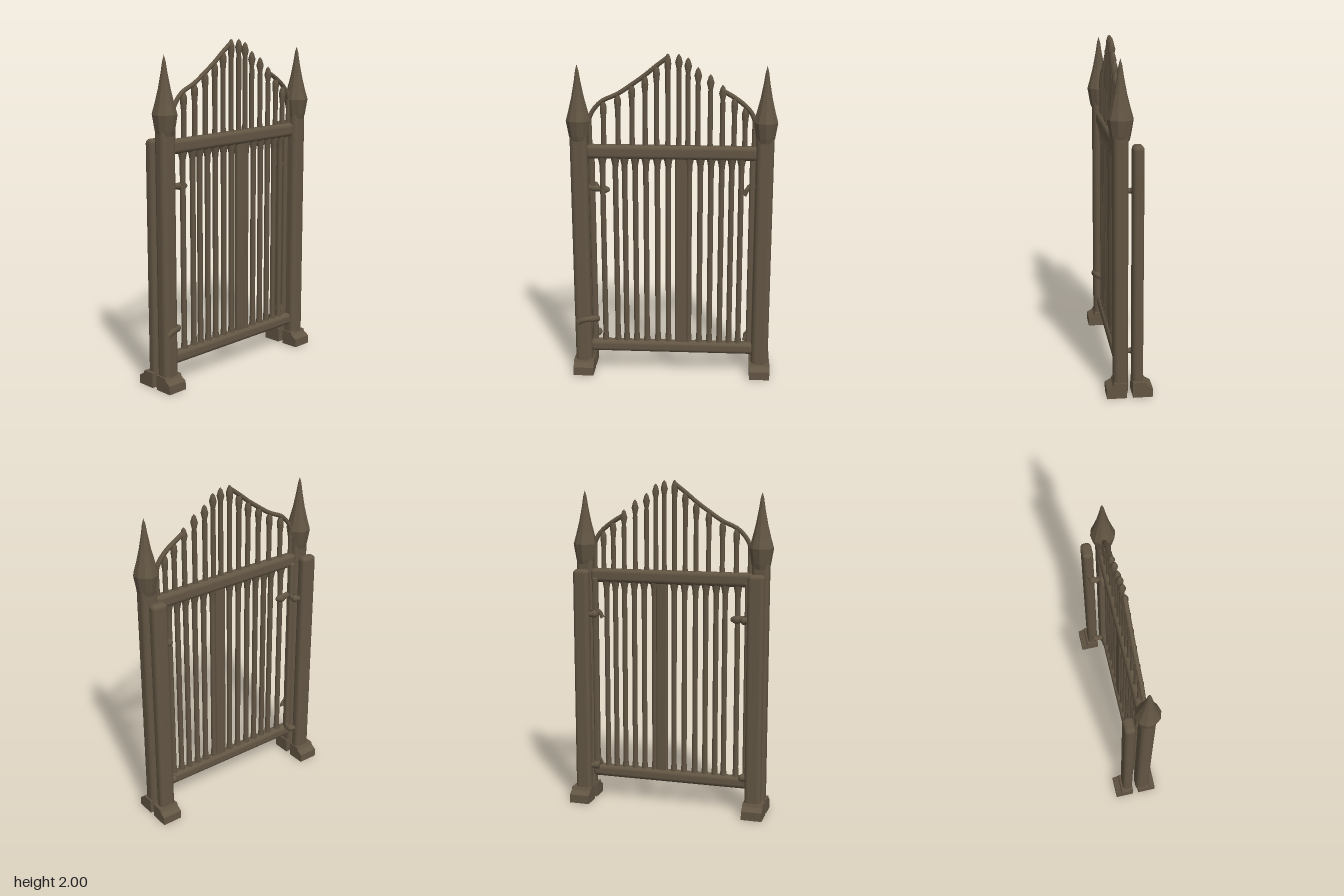
import * as THREE from 'three';
import { RoundedBoxGeometry } from 'three/addons/geometries/RoundedBoxGeometry.js';

export function createModel() {
  const group = new THREE.Group();
  const iron = new THREE.MeshStandardMaterial({ color: 0x625543 });
  iron.name = 'weathered bronze';
  const gateZ = 0.043;

  function add(name, geometry, x = 0, y = 0, z = 0) {
    const mesh = new THREE.Mesh(geometry, iron);
    mesh.name = name;
    mesh.position.set(x, y, z);
    group.add(mesh);
    return mesh;
  }
  const block = (name, w, h, d, x, y, z, r) =>
    add(name, new RoundedBoxGeometry(w, h, d, 3, r), x, y, z);
  const lathe = (points, sides) =>
    new THREE.LatheGeometry(points.map(([r, y]) => new THREE.Vector2(r, y)), sides);
  function rod(name, points, radius) {
    const curve = new THREE.CatmullRomCurve3(points.map(p => new THREE.Vector3(...p)));
    return add(name, new THREE.TubeGeometry(curve, 20, radius, 8));
  }

  // Foot: side profile with a sloped toe, extruded across the post
  function foot(name, x, dir) {
    const toe = [[0.018, 0], [0.132, 0], [0.132, 0.052], [0.098, 0.072], [0.09, 0.09], [0.018, 0.09]];
    const shape = new THREE.Shape(toe.map(([z, y]) => new THREE.Vector2(z, y)));
    const geo = new THREE.ExtrudeGeometry(shape, { depth: 0.125, bevelEnabled: false });
    geo.translate(0, 0, -0.0625);
    add(name, geo, x).rotation.y = dir > 0 ? -Math.PI / 2 : Math.PI / 2;
  }

  for (const s of [-1, 1]) {
    // Front post with spear finial
    block('frontPost', 0.104, 1.55, 0.085, s * 0.548, 0.775, 0.05, 0.03);
    const spear = lathe([[0, 1.48], [0.05, 1.49], [0.058, 1.52], [0.073, 1.61], [0.056, 1.67],
      [0.036, 1.75], [0.019, 1.84], [0.01, 1.9], [0, 1.935]], 10).toNonIndexed();
    spear.computeVertexNormals();
    add('postFinial', spear, s * 0.548, 0, 0.05);
    foot('frontFoot', s * 0.548, 1);

    // Shorter rear post
    block('rearPost', 0.1, 1.465, 0.064, s * 0.54, 0.7325, -0.049, 0.025);
    foot('rearFoot', s * 0.548, -1);

    // Side stile of the gate leaf
    block('sideStile', 0.034, 1.22, 0.04, s * 0.478, 0.8, 0.022, 0.012);
    add('sideUpright', new THREE.CylinderGeometry(0.012, 0.014, 0.2, 8), s * 0.482, 1.54, gateZ);

    // Hinge pins between the rear post and the leaf
    for (const y of [1.19, 0.23]) {
      rod('hingePin', [[s * 0.53, y, -0.04], [s * 0.485, y, -0.045], [s * 0.462, y, -0.03], [s * 0.475, y, 0.02]], 0.016);
      add('hingeKnob', new THREE.SphereGeometry(0.023, 10, 8), s * 0.468, y, -0.035);
    }
  }

  // Latch arms
  rod('upperLatch', [[-0.51, 1.2, 0.03], [-0.45, 1.19, 0.03], [-0.41, 1.19, 0.03]], 0.019);
  add('latchKnob', lathe([[0, -0.03], [0.02, -0.025], [0.028, 0], [0.012, 0.03], [0, 0.035]], 8), -0.405, 1.185, 0.03).rotation.z = -Math.PI / 2;
  rod('rightLatch', [[0.51, 1.21, 0.02], [0.455, 1.2, 0.02], [0.432, 1.16, 0.02]], 0.014);
  rod('lowerLatch', [[-0.58, 0.34, 0.083], [-0.54, 0.36, 0.086], [-0.49, 0.36, 0.07], [-0.46, 0.35, 0.04]], 0.02);
  rod('rightLowerBrace', [[0.485, 0.36, 0.02], [0.472, 0.28, 0.02], [0.448, 0.22, 0.03]], 0.012);

  // Rails
  block('lowerRail', 1.02, 0.075, 0.065, 0, 0.178, gateZ, 0.026);
  block('upperRail', 1.02, 0.085, 0.065, 0, 1.422, gateZ, 0.026);

  // Lower bars, flared where they meet the rails
  const lowerBar = lathe([[0.022, 0.19], [0.02, 0.22], [0.0165, 0.27], [0.0165, 1.29],
    [0.018, 1.34], [0.026, 1.38], [0.026, 1.4]], 8);
  for (const x of [-0.412, -0.335, -0.28, -0.217, -0.153, -0.085, -0.02, 0.105, 0.17, 0.233, 0.296, 0.355, 0.412])
    add('lowerBar', lowerBar, x, 0, gateZ);
  block('centreStile', 0.072, 1.2, 0.035, 0.056, 0.8, gateZ, 0.012);

  // Upper bars: [x, top height, free-standing tip]
  const upperBars = [[-0.4, 1.73], [-0.315, 1.77], [-0.232, 1.83], [-0.155, 1.88], [-0.088, 1.94], [-0.022, 2],
    [0.042, 2, 1], [0.095, 1.98, 1], [0.153, 1.925, 1], [0.225, 1.885, 1], [0.296, 1.825, 1], [0.365, 1.76], [0.428, 1.7]];
  for (const [x, top, free] of upperBars) {
    const tip = free
      ? [[0.015, top - 0.11], [0.013, top - 0.09], [0.022, top - 0.05], [0.012, top - 0.015], [0, top]]
      : [[0.015, top - 0.11], [0.02, top - 0.06], [0.019, top - 0.035], [0.008, top - 0.005], [0, top]];
    add('upperBar', lathe([[0.017, 1.45], [0.015, 1.5], ...tip], 8), x, 0, gateZ);
  }

  // Sloping cresting that ties the bar tips to the posts
  rod('leftCresting', [[-0.49, 1.6, gateZ], [-0.465, 1.66, gateZ], [-0.41, 1.72, gateZ], [-0.315, 1.765, gateZ],
    [-0.232, 1.82, gateZ], [-0.155, 1.875, gateZ], [-0.088, 1.93, gateZ], [-0.022, 1.98, gateZ]], 0.013);
  rod('rightCresting', [[0.495, 1.58, gateZ], [0.47, 1.65, gateZ], [0.43, 1.7, gateZ],
    [0.365, 1.75, gateZ], [0.296, 1.79, gateZ]], 0.014);

  return group;
}
